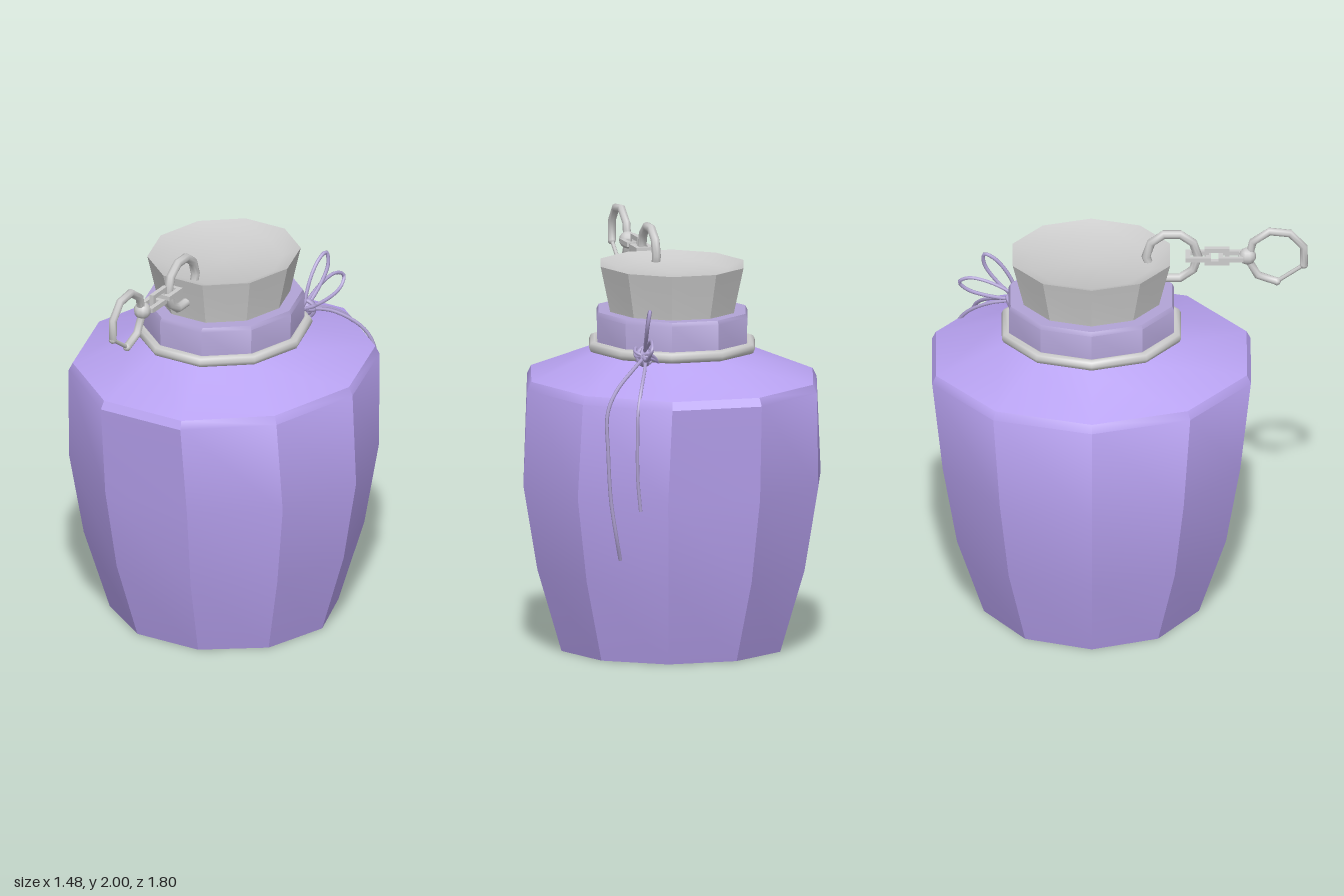
import * as THREE from 'three';
import { toCreasedNormals } from 'three/addons/utils/BufferGeometryUtils.js';

const SIDES = 10;
const CENTRE_Z = -0.14;
const violet = new THREE.MeshStandardMaterial({ color: 0xb9a3f2 });
const mauve = new THREE.MeshStandardMaterial({ color: 0xb2a4d6 });
const grey = new THREE.MeshStandardMaterial({ color: 0xcccccc });

function add(parent, name, geometry, material, x = 0, y = 0, z = 0) {
  const mesh = new THREE.Mesh(geometry, material);
  mesh.name = name;
  mesh.position.set(x, y, z);
  parent.add(mesh);
  return mesh;
}

// Ten-sided turned shape; each row is [radius in x, radius in z, height]
function turned(rows) {
  const points = rows.map(([rx, , y]) => new THREE.Vector2(rx, y));
  const geo = new THREE.LatheGeometry(points, SIDES, Math.PI / 2);
  const pos = geo.attributes.position;
  for (let i = 0; i < pos.count; i++) {
    const [rx, rz] = rows[i % rows.length];
    if (rx > 0) pos.setZ(i, pos.getZ(i) * rz / rx);
  }
  return toCreasedNormals(geo, 0.55);
}

function cord(points, closed = false) {
  const path = new THREE.CatmullRomCurve3(points.map(p => new THREE.Vector3(...p)), closed);
  return new THREE.TubeGeometry(path, 36, 0.009, 6, closed);
}

// Rectangular chain link lying in the xy plane
function linkGeometry(w, h, bar) {
  const rect = (path, a, b) => path.moveTo(-a, -b).lineTo(a, -b).lineTo(a, b).lineTo(-a, b).closePath();
  const shape = rect(new THREE.Shape(), w / 2, h / 2);
  shape.holes.push(rect(new THREE.Path(), w / 2 - bar, h / 2 - bar));
  return new THREE.ExtrudeGeometry(shape, { depth: bar, bevelEnabled: false }).translate(0, 0, -bar / 2);
}

function buildJar() {
  const jar = new THREE.Group();
  jar.name = 'jar';
  jar.position.z = CENTRE_Z;
  add(jar, 'body', turned([
    [0, 0, 0], [0.55, 0.54, 0], [0.67, 0.675, 0.4], [0.74, 0.747, 0.81],
    [0.72, 0.8, 1.27], [0.7, 0.78, 1.31], [0.4, 0.44, 1.43], [0.36, 0.4, 1.45],
  ]), violet);
  add(jar, 'neck', turned([
    [0.37, 0.412, 1.43], [0.375, 0.415, 1.61], [0.365, 0.405, 1.63], [0.29, 0.32, 1.63],
  ]), mauve);

  // Stopper with a shallow dished top
  add(jar, 'stopper', turned([
    [0.305, 0.335, 1.6], [0.31, 0.342, 1.64], [0.355, 0.395, 1.85], [0.275, 0.3, 1.815], [0, 0, 1.805],
  ]), grey);

  // Metal band at the foot of the neck
  const band = new THREE.TorusGeometry(0.385, 0.028, 8, SIDES).rotateX(Math.PI / 2);
  add(jar, 'neckBand', band, grey, 0, 1.462, 0).scale.z = 1.09;
  return jar;
}

// Chain runs along local x, which points to the front
function buildChain() {
  const chain = new THREE.Group();
  chain.name = 'chain';
  chain.position.y = 1.842;
  chain.rotation.y = -Math.PI / 2;
  add(chain, 'stopperRing', new THREE.TorusGeometry(0.124, 0.022, 8, 10), grey, 0.245);

  const flat = linkGeometry(0.12, 0.09, 0.022).rotateX(Math.PI / 2);
  for (const x of [0.37, 0.527]) add(chain, 'flatLink', flat, grey, x);
  add(chain, 'uprightLink', linkGeometry(0.12, 0.09, 0.022), grey, 0.46);
  add(chain, 'clasp ball', new THREE.SphereGeometry(0.042, 10, 8), grey, 0.605);

  // Clasp ring: thick arc closed by a thin gate
  const start = -Math.PI / 9, arc = Math.PI * 1.611, R = 0.138;
  const ring = new THREE.TorusGeometry(R, 0.02, 8, 7, arc).rotateZ(start);
  add(chain, 'claspRing', ring, grey, 0.745);
  const a = new THREE.Vector3(R * Math.cos(start), R * Math.sin(start), 0);
  const b = new THREE.Vector3(0, -R, 0);
  for (const end of [a, b]) {
    add(chain, 'claspEnd', new THREE.SphereGeometry(0.02, 8, 6), grey, 0.745 + end.x, end.y);
  }
  const gate = new THREE.TubeGeometry(new THREE.LineCurve3(a, b), 1, 0.01, 6);
  add(chain, 'claspGate', gate, grey, 0.745);
  return chain;
}

// Bow tied at the back left of the neck
function buildBow() {
  const bow = new THREE.Group();
  bow.name = 'bow';
  add(bow, 'upperLoop', cord([
    [0.24, 1.48, -0.49], [0.24, 1.6, -0.53], [0.25, 1.69, -0.6], [0.26, 1.71, -0.65],
    [0.27, 1.65, -0.65], [0.26, 1.55, -0.58],
  ], true), mauve);
  add(bow, 'lowerLoop', cord([
    [0.24, 1.48, -0.49], [0.25, 1.55, -0.6], [0.27, 1.575, -0.72], [0.285, 1.545, -0.77],
    [0.29, 1.5, -0.73], [0.27, 1.47, -0.6],
  ], true), mauve);
  add(bow, 'longTail', cord([
    [0.24, 1.47, -0.5], [0.33, 1.43, -0.61], [0.44, 1.34, -0.69], [0.49, 1.24, -0.715],
    [0.49, 1.05, -0.725], [0.475, 0.82, -0.72], [0.445, 0.64, -0.71], [0.415, 0.52, -0.675],
  ]), mauve);
  add(bow, 'shortTail', cord([
    [0.24, 1.47, -0.5], [0.28, 1.43, -0.63], [0.33, 1.35, -0.74], [0.36, 1.25, -0.79],
    [0.365, 1.1, -0.795], [0.36, 0.92, -0.785], [0.345, 0.77, -0.78],
  ]), mauve);

  // Knot with crossed wraps
  const knot = new THREE.Group();
  knot.name = 'knot';
  knot.position.set(0.24, 1.47, -0.495);
  knot.rotation.y = Math.PI - 0.63;
  add(knot, 'knotCore', new THREE.IcosahedronGeometry(0.038, 1), mauve);
  for (const tilt of [-0.7, 0, 0.7]) {
    const wrap = add(knot, 'knotWrap', new THREE.TorusGeometry(0.042, 0.011, 6, 12), mauve);
    wrap.rotation.set(0, Math.PI / 2 + tilt, tilt);
  }
  for (const s of [-1, 1]) {
    add(knot, 'knotCord', cord([
      [s * 0.06, -0.03 * s, -0.04], [s * 0.03, 0, 0.03], [-s * 0.03, 0.02, 0.035], [-s * 0.06, 0.03 * s, -0.03],
    ]), mauve);
  }
  bow.add(knot);
  return bow;
}

export function createModel() {
  const model = new THREE.Group();
  model.name = 'stopperedJar';
  model.add(buildJar(), buildChain(), buildBow());
  return model;
}
